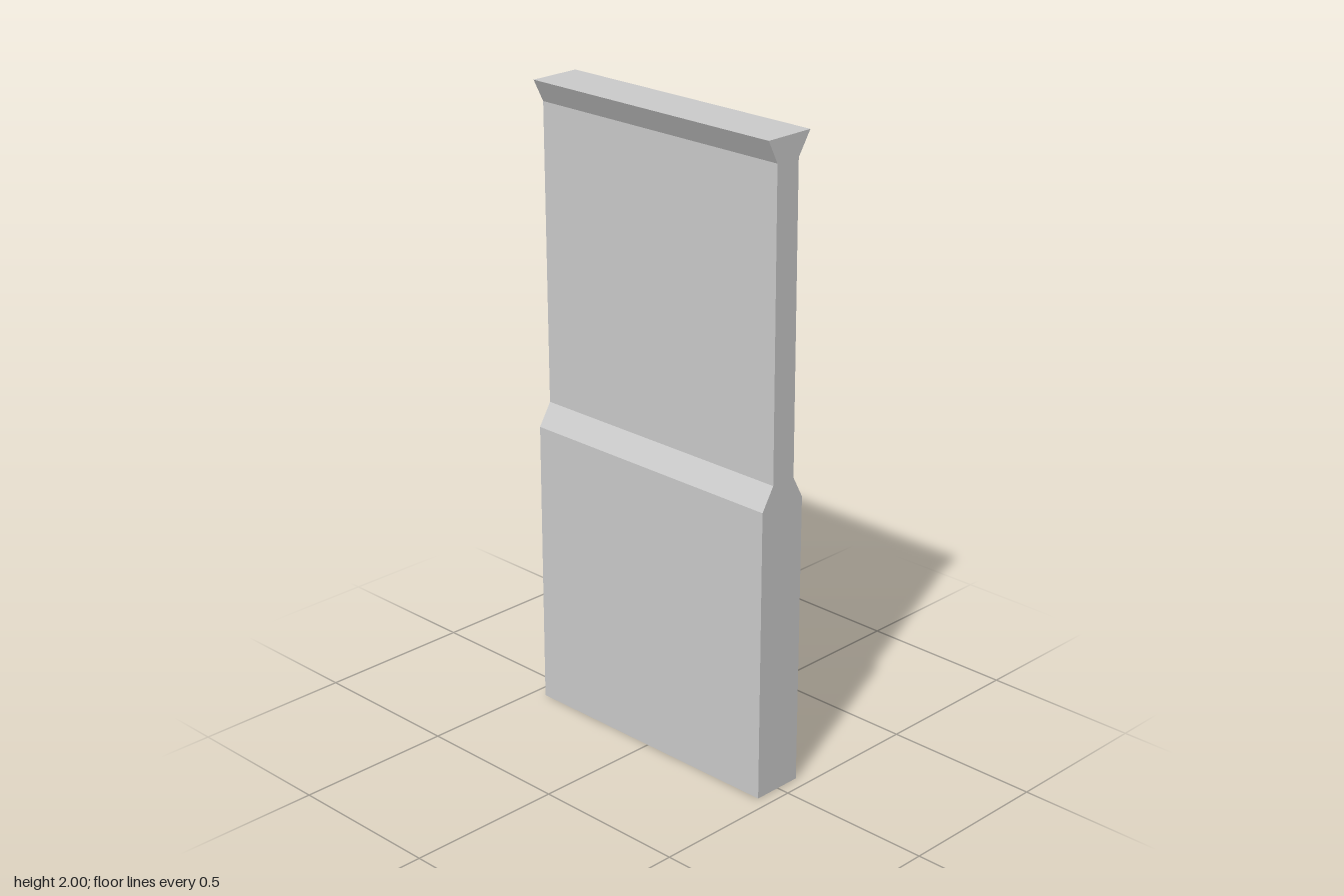
import * as THREE from 'three';

export function createModel() {
  const group = new THREE.Group();
  const depth = 0.918;

  // Wall cross-section: thick base, sloped shoulder, thin upper panel, flared cap
  const profile = [
    [-0.085, 0], [0.081, 0], [0.081, 0.92], [0.043, 0.99],
    [0.038, 1.93], [0.083, 2], [-0.083, 2], [-0.047, 1.93],
    [-0.042, 0.99], [-0.085, 0.92],
  ];
  const shape = new THREE.Shape(profile.map(([x, y]) => new THREE.Vector2(x, y)));
  const geometry = new THREE.ExtrudeGeometry(shape, { depth, bevelEnabled: false });
  geometry.translate(0, 0, -depth / 2);

  const wall = new THREE.Mesh(
    geometry,
    new THREE.MeshStandardMaterial({ color: 0xcccccc, flatShading: true })
  );
  wall.name = 'wallPanel';
  group.add(wall);
  return group;
}
